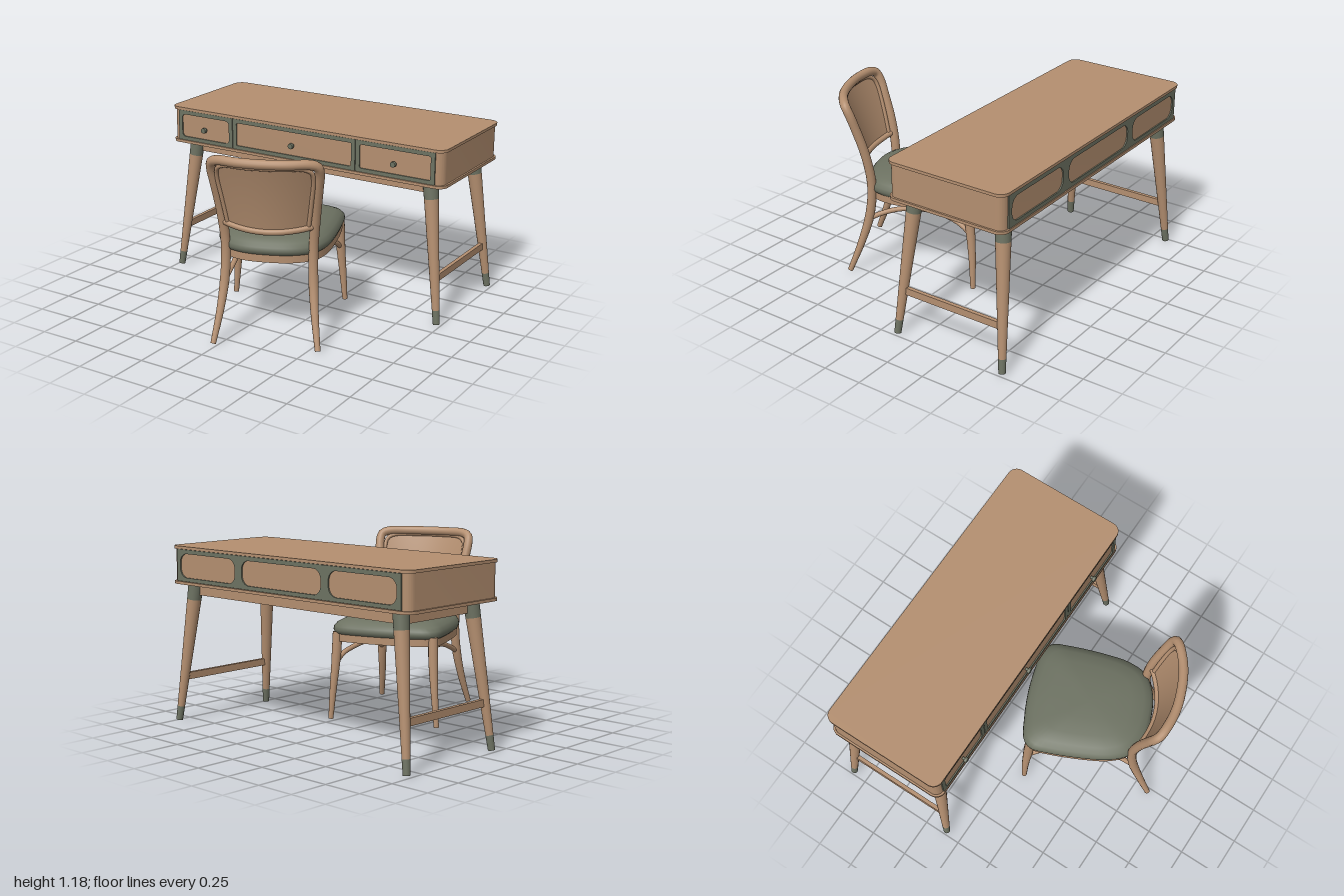
import * as THREE from 'three';
import { toCreasedNormals } from 'three/addons/utils/BufferGeometryUtils.js';

const wood = new THREE.MeshStandardMaterial({ color: 0xb48f70 });
wood.name = 'wood';
const green = new THREE.MeshStandardMaterial({ color: 0x6d7262 });
green.name = 'greyGreen';
const V = (x, y, z) => new THREE.Vector3(x, y, z);

function add(parent, name, geometry, material, x = 0, y = 0, z = 0) {
  const mesh = new THREE.Mesh(geometry, material);
  mesh.name = name;
  mesh.position.set(x, y, z);
  parent.add(mesh);
  return mesh;
}

// Rounded rectangle drawn into a Shape or Path
function roundRect(p, x0, y0, x1, y1, r) {
  p.moveTo(x0 + r, y0);
  p.lineTo(x1 - r, y0).absarc(x1 - r, y0 + r, r, -Math.PI / 2, 0, false);
  p.lineTo(x1, y1 - r).absarc(x1 - r, y1 - r, r, 0, Math.PI / 2, false);
  p.lineTo(x0 + r, y1).absarc(x0 + r, y1 - r, r, Math.PI / 2, Math.PI, false);
  p.lineTo(x0, y0 + r).absarc(x0 + r, y0 + r, r, Math.PI, Math.PI * 1.5, false);
  return p;
}

// Tapered round bar between two points
function bar(parent, name, a, b, ra, rb, material) {
  const d = b.clone().sub(a);
  const mesh = add(parent, name, new THREE.CylinderGeometry(rb, ra, d.length(), 24), material);
  mesh.position.copy(a).lerp(b, 0.5);
  mesh.quaternion.setFromUnitVectors(V(0, 1, 0), d.normalize());
}

// Bent rod with a radius that varies along its path; end rings close the tips
function rod(points, radius, n = 60) {
  const path = new THREE.CatmullRomCurve3(points, false, 'centripetal');
  const sides = 14;
  const geo = new THREE.TubeGeometry(path, n, 1, sides, false);
  const pos = geo.attributes.position;
  const p = V();
  for (let i = 0; i <= n; i++) {
    const t = THREE.MathUtils.clamp((i - 1) / (n - 2), 0, 1);
    const from = path.getPointAt(i / n), to = path.getPointAt(t);
    const r = i === 0 || i === n ? 0 : radius(t);
    for (let j = 0; j <= sides; j++) {
      const k = i * (sides + 1) + j;
      p.fromBufferAttribute(pos, k).sub(from).multiplyScalar(r).add(to);
      pos.setXYZ(k, p.x, p.y, p.z);
    }
  }
  return geo;
}

function makeDesk() {
  const desk = new THREE.Group();
  desk.name = 'desk';

  // Case: bottom board, body and top board
  const board = (name, y0, y1, inset, r) => {
    const s = roundRect(new THREE.Shape(), -1 + inset, 0.07 + inset, 1 - inset, 0.87 - inset, r);
    const g = new THREE.ExtrudeGeometry(s, { depth: y1 - y0, bevelEnabled: false, curveSegments: 8 });
    g.rotateX(-Math.PI / 2);
    add(desk, name, toCreasedNormals(g, 0.6), wood, 0, y0, 0);
  };
  board('bottomBoard', 0.89, 0.908, 0, 0.06);
  board('caseBody', 0.908, 1.112, 0.012, 0.05);
  board('deskTop', 1.112, 1.13, 0, 0.06);

  // Thin face frames with rounded openings showing the wood behind
  const frame = (name, x0, x1, z, r, border) => {
    const s = roundRect(new THREE.Shape(), x0, 0.91, x1, 1.11, 0.004);
    s.holes.push(roundRect(new THREE.Path(), x0 + border, 0.934, x1 - border, 1.084, r));
    const g = new THREE.ExtrudeGeometry(s, { depth: 0.009, bevelEnabled: false, curveSegments: 8 });
    add(desk, name, g, green, 0, 0, z);
  };
  const drawers = [[-0.94, -0.512, 0.025], [-0.508, 0.398, 0.006], [0.402, 0.94, 0.012]];
  for (const [x0, x1, r] of drawers) {
    frame('drawerFrame', x0, x1, -0.083, r, 0.028);
    const knobX = (x0 + x1) / 2;
    bar(desk, 'knobStem', V(knobX, 1, -0.083), V(knobX, 1, -0.065), 0.009, 0.009, green);
    bar(desk, 'drawerKnob', V(knobX, 1, -0.066), V(knobX, 1, -0.048), 0.018, 0.017, green);
  }
  for (const [x0, x1] of [[-0.94, -0.365], [-0.365, 0.365], [0.365, 0.94]]) {
    frame('backPanelFrame', x0, x1, -0.866, 0.06, 0.03);
  }

  // Splayed legs with green collars and feet
  for (const sx of [-1, 1]) {
    for (const sz of [-1, 1]) {
      const at = (y) => {
        const t = (y - 0.01) / 0.88;
        return V(sx * (0.973 - 0.108 * t), y, -0.48 + sz * (0.373 - 0.073 * t));
      };
      const r = (y) => 0.021 + 0.027 * (y - 0.01) / 0.88;
      const cuts = [0.01, 0.1, 0.79, 0.89];
      ['legFoot', 'legShaft', 'legCollar'].forEach((name, i) => {
        const a = cuts[i], b = cuts[i + 1];
        bar(desk, name, at(a), at(b), r(a), r(b), i === 1 ? wood : green);
      });
    }
    // Side rails and low stretchers
    add(desk, 'sideRail', new THREE.BoxGeometry(0.03, 0.065, 0.56), wood, sx * 0.86, 0.85, -0.48);
    add(desk, 'sideStretcher', new THREE.BoxGeometry(0.025, 0.045, 0.68), wood, sx * 0.938, 0.293, -0.48);
  }
  for (const z of [-0.19, -0.77]) {
    add(desk, 'longRail', new THREE.BoxGeometry(1.7, 0.07, 0.03), wood, 0, 0.855, z);
  }
  return desk;
}

function makeChair() {
  const chair = new THREE.Group();
  chair.name = 'chair';

  // Seat plan, from back centre round one side to the front, then mirrored
  const half = [[0, 0.385], [0.16, 0.365], [0.27, 0.3], [0.325, 0.19], [0.348, 0.05], [0.36, -0.2],
    [0.35, -0.315], [0.3, -0.365], [0.16, -0.39], [0, -0.4]];
  const plan = half.concat(half.slice(1, -1).reverse().map(([x, z]) => [-x, z]));
  const outline = new THREE.CatmullRomCurve3(plan.map(([x, z]) => V(x, 0, z)), true, 'centripetal');

  // Sweep a radial profile round the seat plan
  const sweep = (profile, crease) => {
    const n = 80, geo = new THREE.LatheGeometry(profile.map((p) => new THREE.Vector2(...p)), n);
    const pos = geo.attributes.position;
    for (let i = 0; i <= n; i++) {
      const o = outline.getPointAt((i % n) / n);
      profile.forEach(([s, y], j) => pos.setXYZ(i * profile.length + j, o.x * s, y, o.z * s));
    }
    geo.computeVertexNormals();
    return toCreasedNormals(geo, crease);
  };
  add(chair, 'seatCushion', sweep([[0, 0.553], [0.95, 0.553], [0.99, 0.565], [1.01, 0.585], [1.0, 0.607],
    [0.95, 0.63], [0.85, 0.65], [0.65, 0.667], [0.35, 0.677], [0, 0.68]], 1.0), green);
  add(chair, 'seatFrame', sweep([[0.88, 0.512], [0.97, 0.512], [0.97, 0.566], [0.88, 0.566], [0.88, 0.512]], 0.6), wood);

  // Back legs and top rail bent from one length
  const side = [[0.315, 0.008, 0.46], [0.285, 0.2, 0.388], [0.266, 0.4, 0.33], [0.263, 0.6, 0.312],
    [0.28, 0.8, 0.337], [0.304, 1.0, 0.392], [0.314, 1.09, 0.422], [0.306, 1.135, 0.446],
    [0.265, 1.153, 0.47], [0.14, 1.156, 0.51]];
  const left = side.map((p) => V(...p));
  const right = side.map(([x, y, z]) => V(-x, y, z)).reverse();
  const legRadius = (t) => 0.017 + 0.012 * Math.min(1, 8 * Math.min(t, 1 - t));
  add(chair, 'backFrame', rod([...left, V(0, 1.156, 0.522), ...right], legRadius, 140), wood);

  // Curved surface shared by the back panel, its edging and the lower rail
  const onBack = (u, y) => {
    const k = (y - 0.7) / 0.45;
    const w = 0.268 + 0.05 * k;
    const bow = 0.085 * Math.max(0, 1 - (u / w) ** 2);
    return V(u, y, 0.322 + 0.095 * k + 0.03 * k * k + bow);
  };
  const panel = new THREE.PlaneGeometry(2, 1, 24, 16);
  const pos = panel.attributes.position;
  for (let i = 0; i < pos.count; i++) {
    const y = 0.725 + (pos.getY(i) + 0.5) * 0.42;
    const corner = 0.05 * Math.max(0, (y - 1.09) / 0.055) ** 2;
    const p = onBack(pos.getX(i) * (0.25 + 0.1 * (y - 0.725) - corner), y);
    pos.setXYZ(i, p.x, p.y, p.z);
  }
  panel.computeVertexNormals();
  const panelWood = wood.clone();
  panelWood.name = 'panelWood';
  panelWood.side = THREE.DoubleSide;
  add(chair, 'backPanel', panel, panelWood);

  const rim = [[0.24, 0.74], [0.262, 0.9], [0.28, 1.05], [0.272, 1.1], [0.235, 1.125], [0.1, 1.13]];
  const rimPath = [...rim, ...rim.map(([u, y]) => [-u, y]).reverse()].map(([u, y]) => onBack(u, y));
  add(chair, 'panelEdging', rod(rimPath, () => 0.013), wood);
  const railPath = [-0.272, -0.2, -0.1, 0, 0.1, 0.2, 0.272].map((u) => onBack(u, 0.715 + 0.35 * u * u));
  add(chair, 'lowerBackRail', rod(railPath, () => 0.019), wood);

  // Front legs and arched side stretchers
  for (const s of [-1, 1]) {
    const leg = [V(s * 0.358, 0.006, -0.36), V(s * 0.343, 0.2, -0.353), V(s * 0.328, 0.4, -0.338), V(s * 0.322, 0.57, -0.325)];
    add(chair, 'frontLeg', rod(leg, (t) => 0.016 + 0.015 * Math.min(1, t * 1.3), 40), wood);
    const arch = [V(s * 0.33, 0.37, -0.34), V(s * 0.305, 0.425, -0.26), V(s * 0.265, 0.457, -0.13), V(s * 0.245, 0.464, 0),
      V(s * 0.24, 0.445, 0.14), V(s * 0.25, 0.41, 0.25), V(s * 0.266, 0.37, 0.335)];
    add(chair, 'archedStretcher', rod(arch, () => 0.016), wood);
  }

  chair.position.set(0.093, 0, 0.303);
  chair.rotation.y = 0.383;
  return chair;
}

export function createModel() {
  const model = new THREE.Group();
  model.name = 'deskAndChair';
  model.add(makeDesk(), makeChair());
  return model;
}
